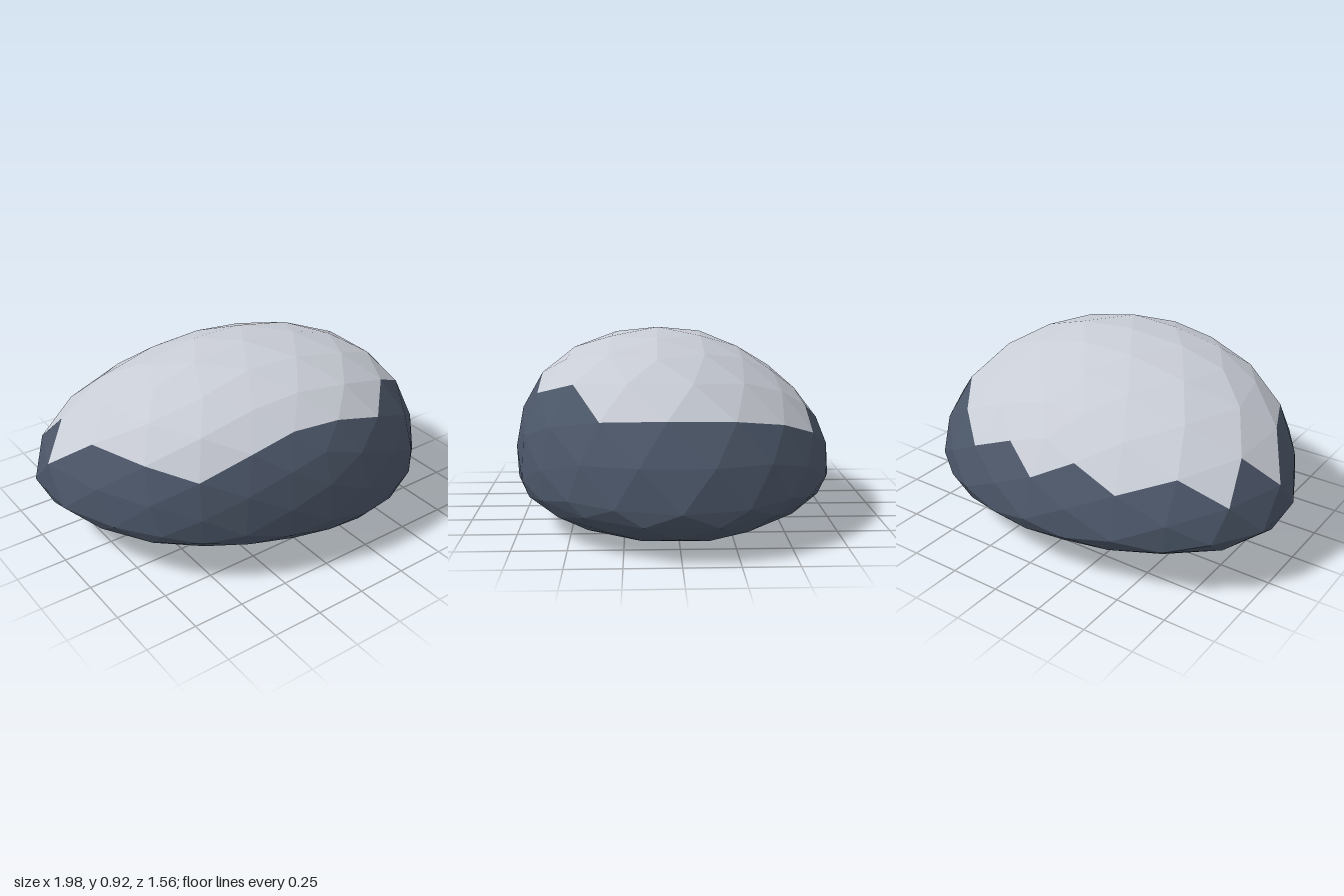
import * as THREE from 'three';

// Plan outline of the boulder at its widest level, as [x, z]
const OUTLINE_POINTS = [
  [-1, -0.22], [-0.88, -0.47], [-0.63, -0.66], [-0.32, -0.755], [0, -0.785], [0.33, -0.735],
  [0.5, -0.67], [0.74, -0.52], [0.92, -0.32], [1, -0.1], [0.98, 0.16], [0.88, 0.37],
  [0.72, 0.57], [0.47, 0.72], [0.15, 0.78], [-0.27, 0.7], [-0.63, 0.52], [-0.8, 0.36], [-0.97, 0.03],
];
const OUTLINE = new THREE.CatmullRomCurve3(
  OUTLINE_POINTS.map(([x, z]) => new THREE.Vector3(x, 0, z)), true,
).getPoints(114);
const cross = (ax, az, bx, bz) => ax * bz - az * bx;

// Distance from the centre to the outline in the direction (dx, dz)
function outlineRadius(dx, dz) {
  let radius = 0;
  for (let i = 0; i < OUTLINE.length - 1; i++) {
    const a = OUTLINE[i], b = OUTLINE[i + 1];
    const ex = b.x - a.x, ez = b.z - a.z;
    const det = cross(dx, dz, ex, ez);
    if (Math.abs(det) < 1e-9) continue;
    const k = cross(a.x, a.z, ex, ez) / det;
    const u = cross(a.x, a.z, dx, dz) / det;
    if (u > -1e-6 && u < 1 + 1e-6) radius = Math.max(radius, k);
  }
  return radius;
}

// Moves a point of the unit sphere onto the lopsided boulder:
// a tall dome leaning forward over a shallow base leaning to its left
function shapePoint(p) {
  const t = Math.min(1, Math.abs(p.y));
  const s = Math.sqrt(1 - t * t);
  const angle = Math.atan2(p.z, p.x);
  const dx = Math.cos(angle), dz = Math.sin(angle);
  const r = s * outlineRadius(dx, dz);
  const x = r * dx, z = r * dz;
  if (p.y > 0) {
    const lean = 0.17 * Math.pow(t, 1.6) * (1 - 0.5 * Math.pow(t, 4));
    return p.set(x - 0.01 * t, 0.263 + 0.657 * t - 0.035 * x * (1 - t), z + lean);
  }
  return p.set(x + 0.22 * t * t, 0.263 - 0.263 * t - 0.035 * x, z + 0.04 * t * t);
}

function facetMesh(name, points, material) {
  const geometry = new THREE.BufferGeometry().setFromPoints(points);
  geometry.computeVertexNormals(); // unshared corners give flat facets
  const mesh = new THREE.Mesh(geometry, material);
  mesh.name = name;
  return mesh;
}

export function createModel() {
  const rock = new THREE.MeshStandardMaterial({ color: 0x4b5668 });
  rock.name = 'slate rock';
  const pale = new THREE.MeshStandardMaterial({ color: 0xc8ccd5 });
  pale.name = 'pale cap';

  // Facets above a sloping line belong to the pale cap
  const position = new THREE.IcosahedronGeometry(1, 3).attributes.position;
  const cap = [], body = [];
  for (let i = 0; i < position.count; i += 3) {
    const face = [0, 1, 2].map((k) => shapePoint(new THREE.Vector3().fromBufferAttribute(position, i + k)));
    const c = new THREE.Vector3();
    face.forEach((p) => c.addScaledVector(p, 1 / 3));
    const line = 0.605 + 0.12 * c.z - 0.07 * Math.abs(c.x);
    (c.y > line ? cap : body).push(...face);
  }

  const boulder = new THREE.Group();
  boulder.name = 'boulder';
  boulder.add(facetMesh('rockBody', body, rock), facetMesh('paleCap', cap, pale));
  return boulder;
}
